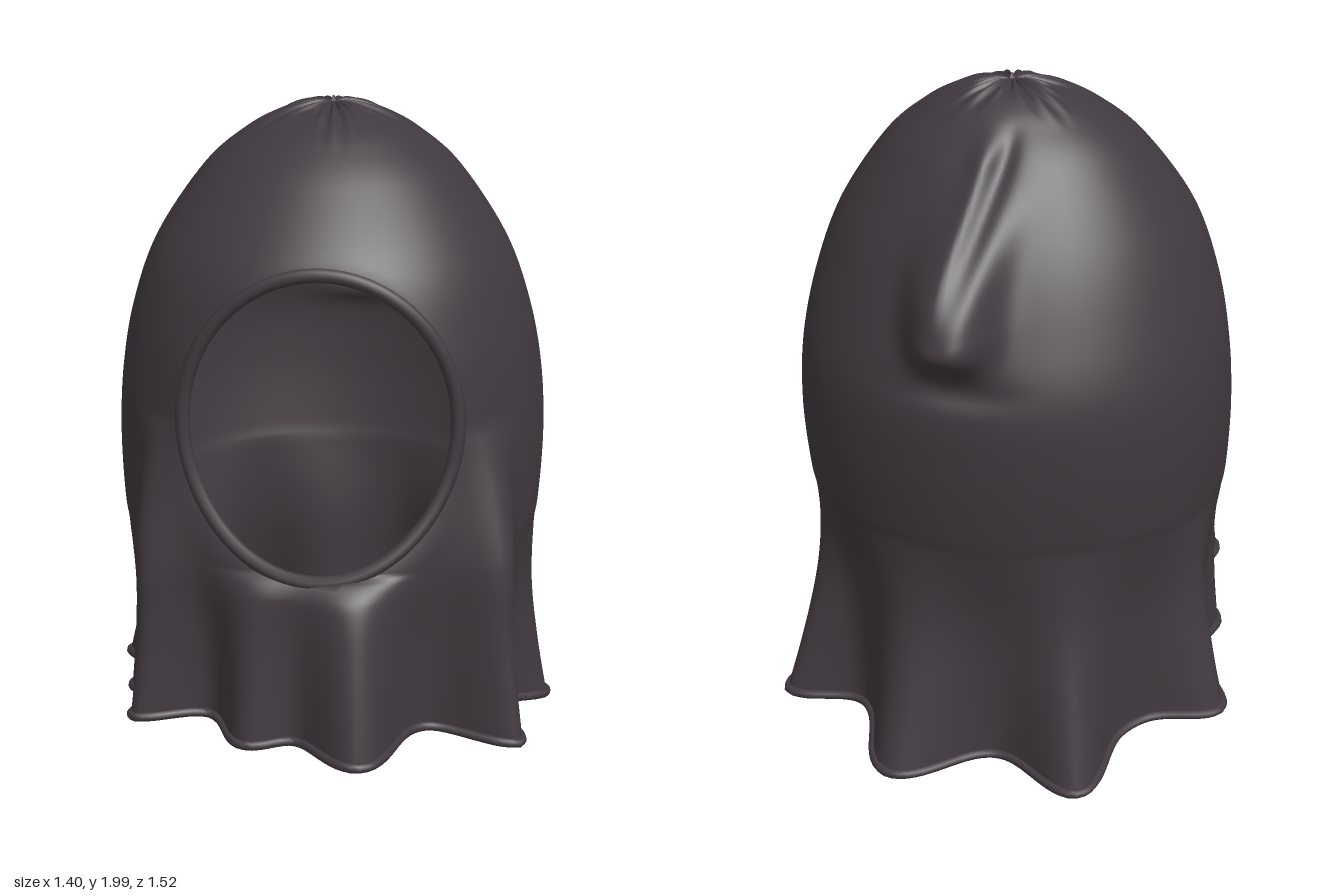
import * as THREE from 'three';

const cloth = new THREE.MeshStandardMaterial({ color: 0x413940, side: THREE.DoubleSide });
cloth.name = 'charcoal cloth';

const { smoothstep } = THREE.MathUtils;
const gauss = (x, s) => Math.exp(-((x / s) ** 2));

// Hood cross-sections: height, half width, half depth, z centre.
// Heights under SKIRT are rescaled to reach the uneven hem.
const SKIRT = 0.7;
const sections = [
  [1.985, 0.004, 0.004, -0.11], [1.975, 0.09, 0.085, -0.108], [1.95, 0.172, 0.155, -0.1],
  [1.9, 0.264, 0.235, -0.085], [1.8, 0.38, 0.34, -0.07], [1.6, 0.517, 0.485, -0.045],
  [1.4, 0.592, 0.565, -0.05], [1.2, 0.632, 0.61, -0.065], [1.0, 0.645, 0.615, -0.06],
  [0.8, 0.636, 0.61, -0.04], [0.7, 0.62, 0.598, -0.03], [0.47, 0.592, 0.568, -0.02],
  [0.23, 0.58, 0.557, -0.02], [0, 0.575, 0.552, -0.02],
];
const curveOf = (f) => new THREE.CatmullRomCurve3(
  sections.map(f), false, 'catmullrom', 0.5);
const sizeCurve = curveOf(([y, w, d]) => new THREE.Vector3(y, w, d));
const centreCurve = curveOf(([, , , z]) => new THREE.Vector3(z, 0, 0));

function sectionAt(t) {
  const s = sizeCurve.getPoint(t);
  return { y: s.x, w: s.y, d: s.z, zc: centreCurve.getPoint(t).x };
}

// Flatten the front of the hood around the face opening
function flatten(z, y) {
  const cap = 0.44 + 0.9 * Math.max(0, 1.1 - y) ** 2;
  const k = 0.04, h = Math.max(k - Math.abs(z - cap), 0) / k;
  return Math.min(z, cap) - h * h * k / 4;
}

// Hanging folds: angle from the front, depth, width, start height, growth power
const folds = [
  [-0.8, 0.19, 0.14, 1.15, 0.85], [-0.29, 0.13, 0.17, 0.75, 0.6],
  [0.17, 0.225, 0.2, 0.75, 0.6], [0.84, 0.225, 0.14, 1.15, 0.85],
  [1.5, 0.11, 0.17, 0.75, 1.2], [2.14, 0.19, 0.14, 0.75, 1.2],
  [2.83, 0.195, 0.22, 0.75, 1.2], [-2.7, 0.19, 0.19, 0.75, 1.2],
  [-1.93, 0.155, 0.17, 0.75, 1.2], [-1.3, 0.06, 0.15, 0.75, 1.2],
];
const angleGap = (a, b) => Math.atan2(Math.sin(a - b), Math.cos(a - b));

function hemHeight(a) {
  let y = 0.152 + 0.1 * Math.cos(a)
    + 0.035 * gauss(angleGap(a, -0.75), 0.25) - 0.02 * gauss(angleGap(a, -2.7), 0.2);
  for (const [b, depth, s] of folds) {
    if (Math.abs(b) > 1.2) y -= 0.1 * depth * gauss(angleGap(a, b), s);
  }
  return y;
}

// One point of the cloth at angle a and crown-to-hem parameter t
function clothPoint(a, t) {
  const { y: level, w, d, zc } = sectionAt(t);
  const hem = hemHeight(a);
  let y = level < SKIRT ? hem + (SKIRT - hem) * level / SKIRT : level;
  let x = 0.01 + w * Math.sin(a);
  let z = flatten(zc + d * Math.cos(a), y);

  // hanging folds widen towards the hem
  let push = 0;
  for (const [b, depth, s, start, power] of folds) {
    const grow = Math.max(0, (start - y) / (start - hem)) ** power;
    push += depth * grow * gauss(angleGap(a, b), s);
  }
  x += push * Math.sin(a);
  z += push * Math.cos(a);

  // gathered pleats around the crown
  const reach = 0.17 + 0.06 * Math.sin(5 * a + 1);
  y += 0.006 * Math.sin(19 * a + 1.5 * Math.sin(3 * a))
    * smoothstep(w, 0.01, 0.05) * (1 - smoothstep(w, reach * 0.6, reach * 1.3));

  // tucked pouch with a furrow at the back, trailing up to the crown as a thin ridge
  if (Math.cos(a) < 0) {
    const x0 = -0.01 + 0.075 * (1 - smoothstep(y, 1.5, 1.9));
    const rise = smoothstep(y, 1.26, 1.44) * (1 - smoothstep(y, 1.49, 1.82));
    const trail = smoothstep(y, 1.45, 1.7) * (1 - smoothstep(y, 1.83, 1.93));
    const pouch = Math.exp(-(Math.abs((x - x0) / 0.12) ** 3));
    const bump = rise * 0.155 * pouch
      + trail * (0.03 * gauss(x - x0 - 0.03, 0.035) - 0.02 * gauss(x - x0 + 0.03, 0.03));
    const crease = 0.02 * gauss(y - 1.24, 0.03) * gauss(x - 0.05, 0.13);
    z += crease - bump;
    y -= 0.25 * bump;
  }
  return new THREE.Vector3(x, y, z);
}

// Face opening
const FACE = { x: 0.012, y: 1.17, rx: 0.392, ry: 0.435 };

function faceRimPoint(angle) {
  const x = FACE.x + FACE.rx * Math.cos(angle);
  const y = FACE.y + FACE.ry * Math.sin(angle);
  let lo = 0, hi = 1;
  for (let i = 0; i < 30; i++) {
    const mid = (lo + hi) / 2;
    if (sizeCurve.getPoint(mid).x > y) lo = mid; else hi = mid;
  }
  const { w, d, zc } = sectionAt(lo);
  const side = Math.min(1, Math.abs(x - 0.01) / w);
  return new THREE.Vector3(x, y, flatten(zc + d * Math.sqrt(1 - side * side), y));
}

function hoodGeometry(around, rows) {
  const positions = [], inside = [], index = [];
  for (let i = 0; i <= rows; i++) {
    for (let j = 0; j < around; j++) {
      let p = clothPoint((j / around) * Math.PI * 2, i / rows);
      const ex = (p.x - FACE.x) / FACE.rx, ey = (p.y - FACE.y) / FACE.ry;
      const hole = p.z > 0 && Math.hypot(ex, ey) < 1;
      // pull cloth inside the opening out to its edge
      if (hole) p = faceRimPoint(Math.atan2(ey, ex));
      inside.push(hole);
      positions.push(p.x, p.y, p.z);
    }
  }
  const addFace = (...f) => { if (!f.every((v) => inside[v])) index.push(...f); };
  for (let i = 0; i < rows; i++) {
    for (let j = 0; j < around; j++) {
      const k = (j + 1) % around;
      const a = i * around + j, b = i * around + k;
      const c = a + around, e = b + around;
      addFace(a, c, b);
      addFace(b, c, e);
    }
  }
  const g = new THREE.BufferGeometry();
  g.setAttribute('position', new THREE.Float32BufferAttribute(positions, 3));
  g.setIndex(index);
  g.computeVertexNormals();
  return g;
}

// Rounded seam along a closed loop of points
function seam(count, pointAt, radius) {
  const pts = Array.from({ length: count }, (_, i) => pointAt((i / count) * Math.PI * 2));
  const path = new THREE.CatmullRomCurve3(pts, true);
  return new THREE.TubeGeometry(path, count * 2, radius, 8, true);
}

export function createModel() {
  const model = new THREE.Group();
  model.name = 'hood';
  const add = (name, geometry) => {
    const mesh = new THREE.Mesh(geometry, cloth);
    mesh.name = name;
    model.add(mesh);
    return mesh;
  };

  add('drapedCloth', hoodGeometry(260, 143));
  add('faceRim', seam(72, faceRimPoint, 0.021));
  add('hemSeam', seam(120, (a) => clothPoint(a, 1), 0.014));

  // gathered tip at the crown
  const tip = add('crownTip', new THREE.ConeGeometry(0.028, 0.035, 9));
  tip.position.set(0.01, 1.983, -0.11);
  return model;
}
